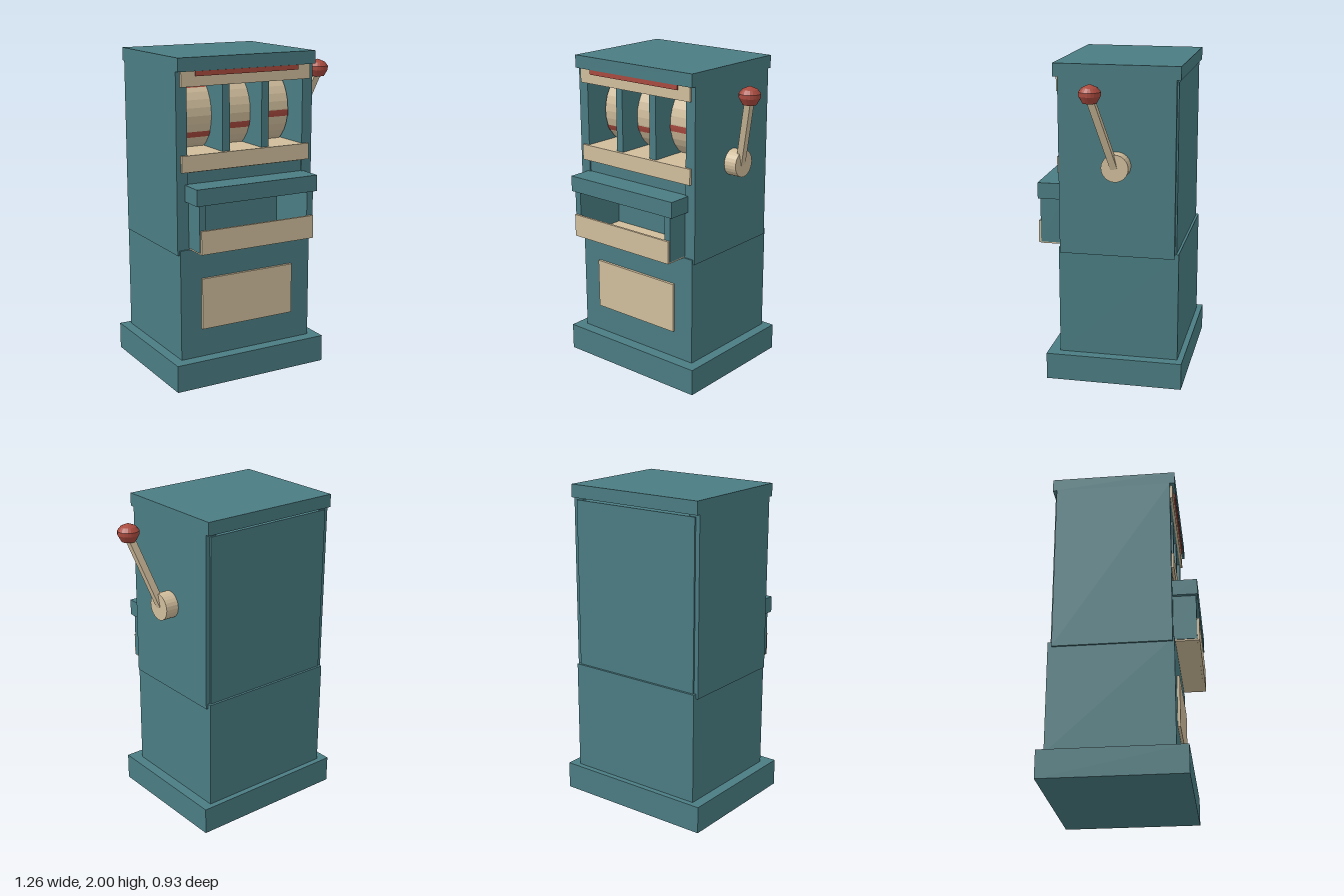
import * as THREE from 'three';

const teal = new THREE.MeshStandardMaterial({ color: 0x4a7c82 });
const tan = new THREE.MeshStandardMaterial({ color: 0xd0bd9c });
const red = new THREE.MeshStandardMaterial({ color: 0xa84a3e });
const tanFlat = tan.clone();
const redFlat = red.clone();
tanFlat.flatShading = redFlat.flatShading = true;

const CX = -0.1125; // centre line of the cabinet

export function createModel() {
  const root = new THREE.Group();
  root.name = 'slotMachine';

  const add = (name, geometry, material, parent = root) => {
    const mesh = new THREE.Mesh(geometry, material);
    mesh.name = name;
    parent.add(mesh);
    return mesh;
  };
  // Box given by its limits along each axis
  const box = (name, mat, x0, x1, y0, y1, z0, z1) => {
    const mesh = add(name, new THREE.BoxGeometry(x1 - x0, y1 - y0, z1 - z0), mat);
    mesh.position.set((x0 + x1) / 2, (y0 + y1) / 2, (z0 + z1) / 2);
    return mesh;
  };
  // Box centred on the cabinet, given by its half width
  const centred = (name, mat, hw, ...yz) => box(name, mat, CX - hw, CX + hw, ...yz);
  // Mirrored pair of boxes between two distances from the centre line
  const pair = (name, mat, a, b, ...yz) => {
    box(name + 'Left', mat, CX + a, CX + b, ...yz);
    box(name + 'Right', mat, CX - b, CX - a, ...yz);
  };

  // Plinth and lower cabinet
  centred('plinth', teal, 0.52, 0, 0.17, -0.465, 0.395);
  centred('lowerCabinet', teal, 0.455, 0.17, 0.86, -0.43, 0.32);
  centred('bellyPanel', tan, 0.317, 0.35, 0.67, 0.32, 0.337);

  // Upper cabinet shell around the reel window and payout recess
  pair('sideWall', teal, 0.397, 0.4675, 0.83, 1.92, -0.405, 0.31);
  centred('backPanel', teal, 0.44, 0.86, 1.905, -0.415, -0.36);
  centred('topSlab', teal, 0.4675, 1.92, 2.0, -0.43, 0.34);
  centred('windowHeader', teal, 0.397, 1.83, 1.92, 0.27, 0.31);
  centred('middlePanel', teal, 0.397, 1.155, 1.325, -0.36, 0.3);
  centred('recessBack', teal, 0.397, 0.86, 1.155, -0.36, 0.1);
  pair('recessCheek', teal, 0.35, 0.397, 0.86, 1.155, 0.1, 0.31);

  // Trim around the window
  centred('upperTrim', tan, 0.44, 1.83, 1.92, 0.31, 0.325);
  centred('topStrip', red, 0.35, 1.89, 1.919, 0.325, 0.335);
  centred('lowerTrim', tan, 0.44, 1.33, 1.43, 0.31, 0.325);
  centred('windowSill', tan, 0.397, 1.325, 1.43, -0.36, 0.31);
  pair('reelDivider', teal, 0.11, 0.16, 1.43, 1.83, -0.1, 0.305);

  // Payout tray
  centred('trayHood', teal, 0.415, 1.155, 1.255, 0.3, 0.46);
  pair('traySide', teal, 0.35, 0.393, 0.87, 1.155, 0.31, 0.45);
  centred('trayFloor', tan, 0.388, 0.86, 0.87, 0.1, 0.45);
  centred('trayLip', tan, 0.388, 0.862, 1.005, 0.45, 0.465);

  // Reels with five red bars each, turned to different positions
  const reelRadius = 0.25, barAngle = 0.16;
  [[-0.27, -0.47], [0, -0.3], [0.27, -0.1]].forEach(([dx, turn], i) => {
    const reel = new THREE.Group();
    reel.name = 'reel' + (i + 1);
    reel.position.set(CX + dx, 1.63, -0.08);
    root.add(reel);
    const drum = add('drum', new THREE.CylinderGeometry(reelRadius, reelRadius, 0.225, 32), tanFlat, reel);
    drum.rotation.z = Math.PI / 2;
    for (let k = 0; k < 5; k++) {
      const r = reelRadius + 0.003;
      const arc = new THREE.CylinderGeometry(r, r, 0.227, 2, 1, true, -barAngle / 2, barAngle);
      arc.rotateZ(Math.PI / 2);
      arc.rotateX(-turn - k * Math.PI * 0.4);
      add('reelBar', arc, redFlat, reel);
    }
  });

  // Lever: hub, slanted arm and knob
  const hub = add('leverHub', new THREE.CylinderGeometry(0.083, 0.083, 0.085, 24), tanFlat);
  hub.rotation.z = Math.PI / 2;
  hub.position.set(0.3975, 1.4, -0.053);

  const from = new THREE.Vector3(0.42, 1.4, -0.048);
  const to = new THREE.Vector3(0.56, 1.84, 0.065);
  const dir = to.clone().sub(from);
  const arm = add('leverArm', new THREE.BoxGeometry(0.042, dir.length(), 0.042), tan);
  arm.position.copy(from).add(to).multiplyScalar(0.5);
  arm.quaternion.setFromUnitVectors(new THREE.Vector3(0, 1, 0), dir.normalize());

  const knobProfile = [[0, -0.055], [0.042, -0.053], [0.065, -0.012], [0.065, 0.012], [0.046, 0.036], [0, 0.056]]
    .map(([x, y]) => new THREE.Vector2(x, y));
  const knob = add('leverKnob', new THREE.LatheGeometry(knobProfile, 20), redFlat);
  knob.position.set(0.56, 1.86, 0.065);

  return root;
}
